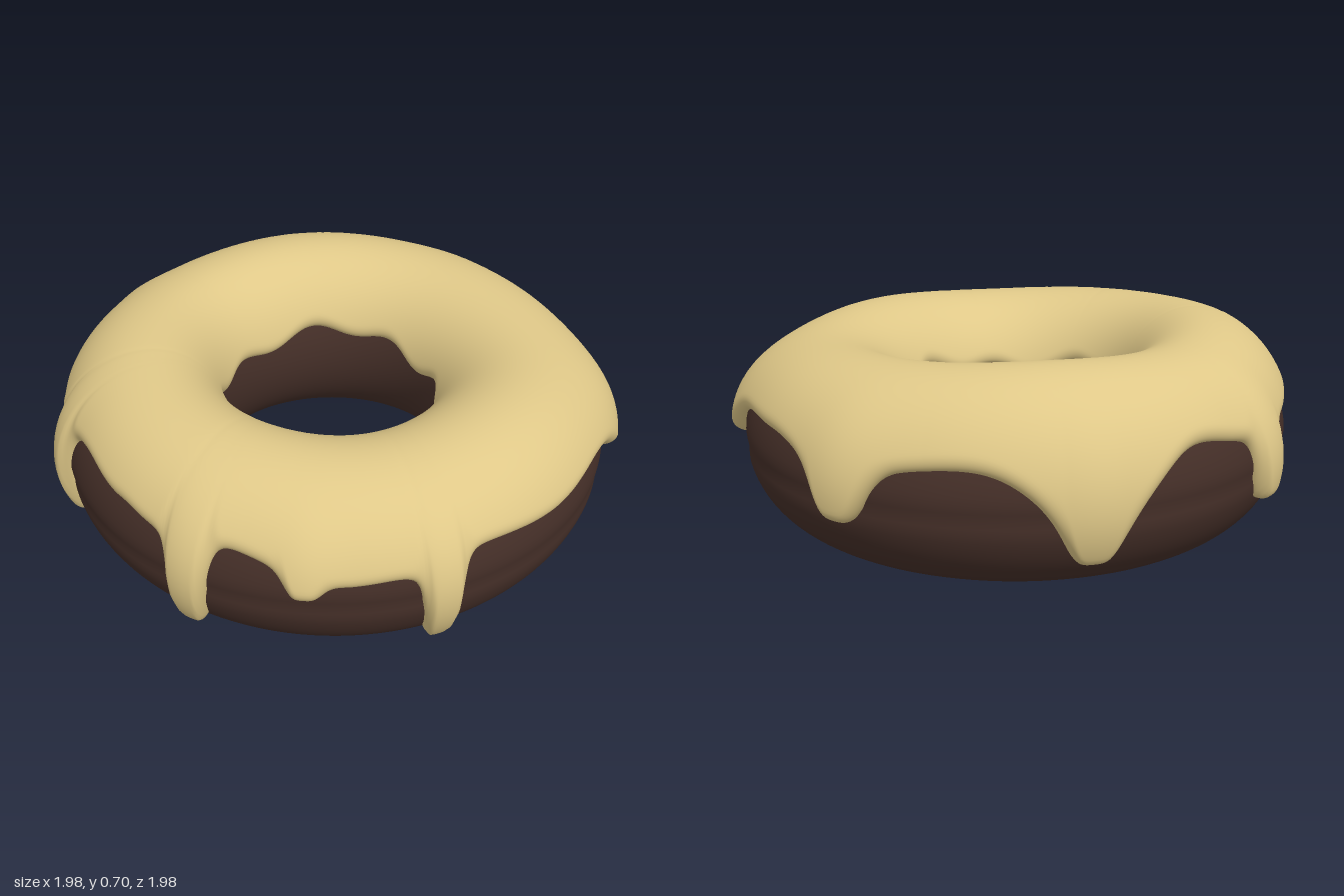
import * as THREE from 'three';

const RAD = Math.PI / 180;
const MID_R = 0.655, MID_Y = 0.315, HALF_OUT = 0.3, HALF_Y = 0.315;

// Point on the ring: a = angle around the hole, phi = angle around the cross-section (0 outside, 90 top)
function ringPoint(a, phi, offset) {
  const holeRadius = 0.375 - 0.02 * Math.cos(a);
  const c = Math.cos(phi), s = Math.sin(phi);
  const half = c > 0 ? HALF_OUT : MID_R - holeRadius;
  const r = MID_R + (half + offset) * c;
  return [r * Math.cos(a), MID_Y + (HALF_Y + offset) * s, r * Math.sin(a)];
}

// Smooth grid closed around the ring; fn(a, v) gives a point, v runs from outside over the top
function ringSurface(cols, rows, closed, fn) {
  const pos = [], idx = [];
  const lines = closed ? rows : rows + 1;
  for (let i = 0; i < cols; i++)
    for (let j = 0; j < lines; j++) pos.push(...fn(i / cols * Math.PI * 2, j / rows));
  for (let i = 0; i < cols; i++) {
    for (let j = 0; j < rows; j++) {
      const i2 = (i + 1) % cols, j2 = (j + 1) % lines;
      const p = i * lines + j, q = i * lines + j2, r = i2 * lines + j2, t = i2 * lines + j;
      idx.push(p, q, r, p, r, t);
    }
  }
  const g = new THREE.BufferGeometry();
  g.setAttribute('position', new THREE.Float32BufferAttribute(pos, 3));
  g.setIndex(idx);
  g.computeVertexNormals();
  return g;
}

// Resting height of the icing's outer edge: [degrees, height]
const EDGE = [[0, 0.45], [20, 0.43], [40, 0.45], [55, 0.4], [65, 0.39], [80, 0.46], [90, 0.48], [105, 0.46],
  [115, 0.48], [130, 0.51], [150, 0.47], [165, 0.46], [180, 0.44], [198, 0.46], [215, 0.53], [230, 0.47],
  [250, 0.5], [270, 0.46], [285, 0.43], [305, 0.46], [325, 0.47], [360, 0.45]];

// Drips: [degrees, tip height, half width in degrees, steepness, extra thickness]
const DRIPS = [
  [48, 0.08, 3.6, 6, 0.02], [74, 0.34, 4.2, 4, 0.02], [97, 0.11, 4, 6, 0.02], [143, 0.1, 3.8, 6, 0.025],
  [191, 0.2, 4.5, 5, 0.03], [234, 0.3, 13, 2.5, 0.015], [234, 0.13, 6, 4, 0.02],
  [282, 0.23, 6.5, 3.5, 0.025], [340, 0.27, 11, 3.5, 0.04]];

const angleGap = (d, e) => Math.abs(((d - e + 540) % 360) - 180);

function edgeHeight(deg) {
  deg = (deg + 360) % 360;
  const k = EDGE.findIndex((e, i) => i > 0 && deg <= e[0]);
  const [d0, h0] = EDGE[k - 1], [d1, h1] = EDGE[k];
  let h = THREE.MathUtils.lerp(h0, h1, THREE.MathUtils.smoothstep(deg, d0, d1));
  for (const [d, tip, w, power] of DRIPS)
    h -= Math.max(0, h - tip) / (1 + Math.pow(angleGap(deg, d) / w, power));
  return h;
}

// Extra icing that gathers at each drip
function dripBulge(deg) {
  let b = 0;
  for (const [d, , w, , extra] of DRIPS)
    b = Math.max(b, extra * Math.exp(-Math.pow(angleGap(deg, d) / (w * 1.5), 2)));
  return b;
}

const heightToPhi = h => Math.asin((h - MID_Y) / (HALF_Y + 0.03));

function icingPoint(a, v) {
  const deg = a / RAD;
  const start = heightToPhi(edgeHeight(deg));
  const inner = 0.43 + 0.025 * Math.sin(3 * a + 1) + 0.02 * Math.sin(8 * a);
  const end = Math.PI - heightToPhi(inner);
  const phi = THREE.MathUtils.lerp(start, end, v - 0.14 * Math.sin(2 * Math.PI * v));

  // Distance to the nearest edge rounds the rim and the sides of the drips
  const slope = (edgeHeight(deg + 0.3) - edgeHeight(deg - 0.3)) / (0.6 * RAD * 0.95);
  const dist = Math.min((phi - start) * 0.33 / Math.hypot(1, slope), (end - phi) * 0.33);
  const rim = Math.sqrt(1 - Math.pow(1 - Math.min(dist / 0.045, 1), 2));

  // Wavy top layer, thicker at the drips
  const up = Math.max(0, Math.sin(phi));
  const top = 0.043 - 0.022 * Math.cos(a) + 0.009 * Math.sin(3 * a + 0.6) + 0.004 * Math.sin(5 * a);
  const side = 0.024 + (Math.cos(phi) > 0 ? dripBulge(deg) * Math.cos(phi) : 0);
  const thick = THREE.MathUtils.lerp(side, top, up * up);
  return ringPoint(a, phi, -0.008 + (thick + 0.008) * rim);
}

// Dough with a shallow crease around its outer side
function doughPoint(a, v) {
  const phi = v * Math.PI * 2;
  const gap = Math.atan2(Math.sin(phi + 0.08), Math.cos(phi + 0.08));
  return ringPoint(a, phi, -0.008 * Math.exp(-Math.pow(gap / 0.09, 2)));
}

export function createModel() {
  const group = new THREE.Group();
  group.name = 'doughnut';

  const dough = new THREE.Mesh(
    ringSurface(128, 80, true, doughPoint),
    new THREE.MeshStandardMaterial({ color: 0x452f28 }));
  dough.name = 'dough';

  const icing = new THREE.Mesh(
    ringSurface(640, 48, false, icingPoint),
    new THREE.MeshStandardMaterial({ color: 0xdfc888, side: THREE.DoubleSide }));
  icing.name = 'icing';

  group.add(dough, icing);
  return group;
}
